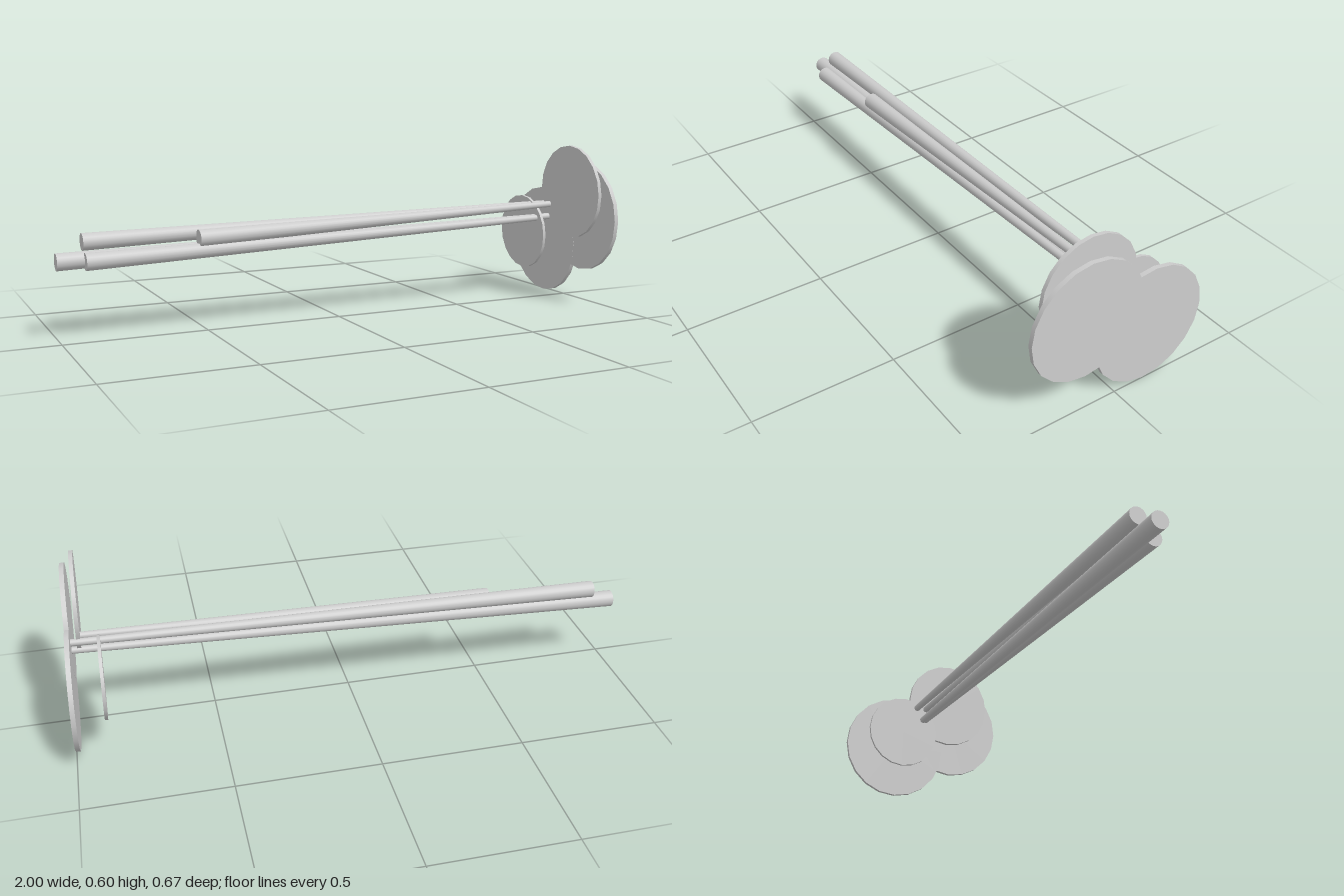
import * as THREE from 'three';

const material = new THREE.MeshStandardMaterial({ color: 0xcccccc });
const UP = new THREE.Vector3(0, 1, 0);
const SIDES = 20;

// Each piece: rod from thick end to thin tip, and an off-centre disc square to the rod
const PIECES = [
  { name: 'longest', from: [-1, 0.265, -0.06], to: [0.986, 0.314, -0.04], disc: [0.986, 0.21, -0.123], radius: 0.21, turn: -0.047 },
  { name: 'upperBack', from: [-0.91, 0.325, -0.075], to: [0.981, 0.362, -0.07], disc: [0.982, 0.333, 0.123], radius: 0.21, turn: 0 },
  { name: 'upperFront', from: [-0.52, 0.319, -0.025], to: [0.946, 0.363, -0.03], disc: [0.946, 0.425, 0.098], radius: 0.178, turn: 0 },
  { name: 'lowerFront', from: [-0.91, 0.265, -0.025], to: [0.884, 0.311, -0.03], disc: [0.884, 0.246, -0.125], radius: 0.146, turn: 0 },
];

function createPiece({ name, from, to, disc, radius, turn }) {
  const a = new THREE.Vector3(...from);
  const b = new THREE.Vector3(...to);
  const direction = b.clone().sub(a);
  const length = direction.length();
  const tilt = new THREE.Quaternion().setFromUnitVectors(UP, direction.normalize());

  // Tapered rod
  const rod = new THREE.Mesh(new THREE.CylinderGeometry(0.012, 0.03, length, SIDES), material);
  rod.name = name + 'Rod';
  rod.position.copy(a).add(b).multiplyScalar(0.5);
  rod.quaternion.copy(tilt);

  // Thin end disc, thickness in proportion to its radius
  const plate = new THREE.Mesh(
    new THREE.CylinderGeometry(radius, radius, radius * 0.076, SIDES, 1, false, turn),
    material
  );
  plate.name = name + 'Disc';
  plate.position.set(...disc);
  plate.quaternion.copy(tilt);

  const group = new THREE.Group();
  group.name = name + 'Piece';
  group.add(rod, plate);
  return group;
}

export function createModel() {
  const model = new THREE.Group();
  model.name = 'rodBundle';
  for (const piece of PIECES) model.add(createPiece(piece));
  return model;
}
